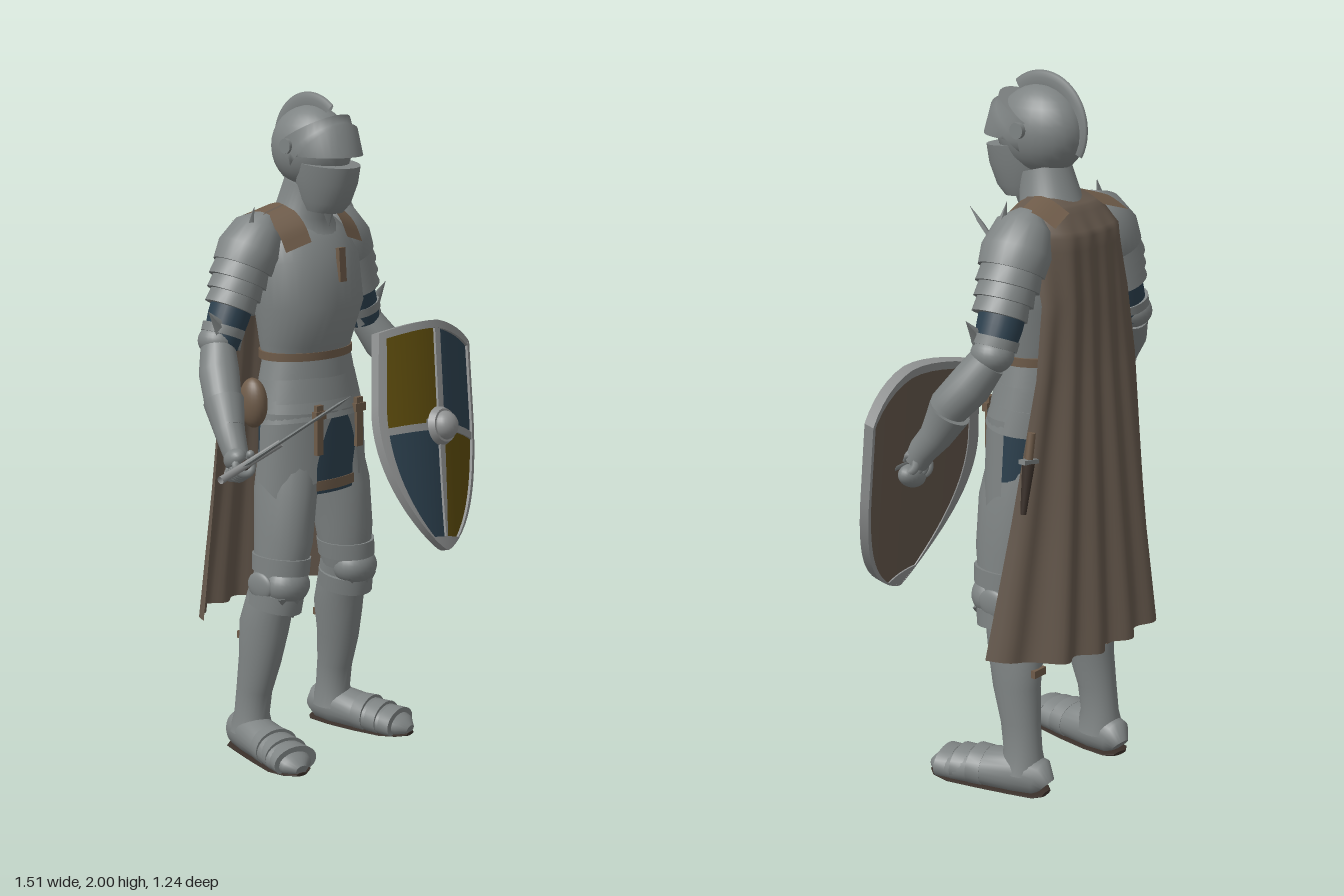
import * as THREE from 'three';

const V = (x, y, z) => new THREE.Vector3(x, y, z);
const CX = 0.07; // body centre line

export function createModel() {
  const root = new THREE.Group();
  const mat = (name, color) => Object.assign(
    new THREE.MeshStandardMaterial({ color, side: THREE.DoubleSide }), { name });
  const steel = mat('steel', 0x7e8383), rimSteel = mat('pale steel', 0x8e9090);
  const blue = mat('dark blue', 0x2c404e), gold = mat('dark gold', 0x5c4b0c);
  const cloth = mat('cape brown', 0x65584c), leather = mat('leather', 0x6e5b49);
  const dark = mat('dark leather', 0x3a302a);

  const add = (name, geo, m, parent = root) => {
    const mesh = new THREE.Mesh(geo, m);
    mesh.name = name;
    parent.add(mesh);
    return mesh;
  };
  // elliptical tube through [x, y, z, radiusA, radiusB] stations, capped at both ends
  const sweep = (pts, seg = 24, ref = V(0, 0, 1)) => {
    const pos = [], idx = [], c = pts.map(p => V(p[0], p[1], p[2])), n = pts.length;
    const frame = i => {
      const t = c[Math.min(i + 1, n - 1)].clone().sub(c[Math.max(i - 1, 0)]).normalize();
      const side = t.clone().cross(ref).normalize();
      return [side, side.clone().cross(t)];
    };
    const ring = i => {
      const [s, b] = frame(i);
      for (let j = 0; j < seg; j++) {
        const a = j / seg * Math.PI * 2;
        const p = c[i].clone().addScaledVector(s, Math.cos(a) * pts[i][3])
          .addScaledVector(b, Math.sin(a) * pts[i][4]);
        pos.push(p.x, p.y, p.z);
      }
    };
    for (let i = 0; i < n; i++) ring(i);
    for (let i = 0; i < n - 1; i++) for (let j = 0; j < seg; j++) {
      const k = (j + 1) % seg, a = i * seg + j, b = i * seg + k;
      idx.push(a, a + seg, b, b, a + seg, b + seg);
    }
    for (const i of [0, n - 1]) {
      const start = pos.length / 3;
      ring(i);
      pos.push(c[i].x, c[i].y, c[i].z);
      for (let j = 0; j < seg; j++) {
        const e = [start + j, start + (j + 1) % seg];
        if (i) e.reverse();
        idx.push(start + seg, ...e);
      }
    }
    const g = new THREE.BufferGeometry();
    g.setAttribute('position', new THREE.Float32BufferAttribute(pos, 3));
    g.setIndex(idx);
    g.computeVertexNormals();
    return g;
  };
  // moves every vertex of a geometry by a rule
  const reshape = (g, f) => {
    const p = g.attributes.position;
    for (let i = 0; i < p.count; i++) p.setXYZ(i, ...f(p.getX(i), p.getY(i), p.getZ(i)));
    g.computeVertexNormals();
    return g;
  };
  const surface = (f, nu, nv) => reshape(new THREE.PlaneGeometry(1, 1, nu, nv), (x, y) => f(x + 0.5, 0.5 - y));
  const ball = (x, y, z, rx, ry, rz) => new THREE.SphereGeometry(1, 24, 16).scale(rx, ry, rz).translate(x, y, z);
  const box = (w, h, d, x, y, z, rx = 0) => new THREE.BoxGeometry(w, h, d).rotateX(rx).translate(x, y, z);
  const body = rows => sweep(rows.map(([y, z, rx, rz]) => [CX, y, z, rx, rz]), 36);

  // torso, gorget, belt and waist lames
  add('breastplate', body([[1.22, -0.365, 0.15, 0.105], [1.27, -0.365, 0.158, 0.118], [1.38, -0.35, 0.176, 0.15],
    [1.5, -0.37, 0.18, 0.15], [1.58, -0.395, 0.16, 0.12], [1.645, -0.4, 0.1, 0.08]]), steel);
  add('gorget', body([[1.6, -0.375, 0.115, 0.11], [1.65, -0.37, 0.085, 0.085], [1.74, -0.345, 0.07, 0.075]]), steel);
  add('gorgetPoint', new THREE.ConeGeometry(0.035, 0.07, 4).rotateX(Math.PI).scale(1, 1, 0.5).translate(CX, 1.645, -0.265), steel);
  add('belt', body([[1.222, -0.365, 0.161, 0.115], [1.246, -0.365, 0.161, 0.115]]), leather);
  add('chestStrap', box(0.026, 0.1, 0.014, CX, 1.505, -0.215, -0.06), leather);
  for (let i = 0; i < 3; i++) {
    const y = 1.225 - i * 0.06, r = i * 0.013;
    add('waistLame', body([[y - 0.07, -0.36 + i * 0.004, 0.169 + r, 0.117 + r * 0.7], [y, -0.36, 0.155 + r, 0.105 + r * 0.7]]), steel);
  }
  add('underskirt', body([[0.82, -0.35, 0.182, 0.115], [0.95, -0.35, 0.182, 0.118], [1.07, -0.352, 0.178, 0.118]]), blue);
  add('skirtHem', body([[0.83, -0.35, 0.186, 0.119], [0.86, -0.35, 0.186, 0.119]]), leather);

  // helmet
  add('skullCap', ball(CX, 1.84, -0.335, 0.1, 0.122, 0.135), steel);
  add('crest', new THREE.TorusGeometry(0.122, 0.028, 10, 40, 2.75).rotateZ(-0.5).scale(1, 1, 0.28)
    .rotateY(Math.PI / 2).translate(CX, 1.85, -0.34), steel);
  add('faceGuard', body([[1.66, -0.285, 0.055, 0.06], [1.69, -0.282, 0.068, 0.085], [1.75, -0.275, 0.083, 0.102],
    [1.8, -0.27, 0.09, 0.104]]), steel);
  add('visorBrim', body([[1.822, -0.285, 0.103, 0.126], [1.832, -0.285, 0.105, 0.127], [1.845, -0.305, 0.103, 0.122],
    [1.885, -0.325, 0.098, 0.127]]), steel);

  // cape: rows of [y, half width, centre z, edge z, fold depth]
  const rows = [[1.675, 0.09, -0.43, -0.36, 0], [1.65, 0.16, -0.475, -0.37, 0], [1.58, 0.18, -0.525, -0.44, 0.002],
    [1.4, 0.185, -0.54, -0.485, 0.004], [1.2, 0.215, -0.55, -0.49, 0.008], [0.8, 0.285, -0.577, -0.46, 0.013],
    [0.425, 0.36, -0.602, -0.43, 0.019]];
  add('cape', surface((u, v) => {
    const s = u * 2 - 1, t = v * (rows.length - 1), i = Math.min(Math.floor(t), rows.length - 2);
    const [y, w, zc, ze, f] = rows[i].map((a, k) => THREE.MathUtils.lerp(a, rows[i + 1][k], t - i));
    return [CX - s * w, y + 0.025 * v * s * s, zc + (ze - zc) * s ** 4 + f * Math.cos(s * Math.PI * 2 / 0.38)];
  }, 60, 30), cloth);
  const over = new THREE.CatmullRomCurve3([V(0, 1.575, -0.262), V(0, 1.63, -0.295), V(0, 1.674, -0.36), V(0, 1.675, -0.42), V(0, 1.645, -0.49)]);

  // gripping gauntlet, closed round the local z axis
  const hand = parent => {
    const g = new THREE.Group();
    g.name = 'gauntletHand';
    parent.add(g);
    for (let i = 0; i < 4; i++)
      add('finger', new THREE.TorusGeometry(0.024, 0.012, 8, 16, 5).rotateZ(1.2).translate(0, 0, -0.105 + i * 0.022), steel, g);
    add('palm', ball(0.0, 0.03, -0.07, 0.032, 0.032, 0.05), steel, g);
    add('thumb', new THREE.CapsuleGeometry(0.012, 0.05, 4, 10).rotateX(1.2).translate(0.026, 0.01, -0.035), steel, g);
    return g;
  };

  // paired armour
  for (const s of [-1, 1]) {
    const X = d => CX + s * d;
    const pair = (name, pts, m = steel, ref) => add(name, sweep(pts.map(([d, ...r]) => [X(d), ...r]), 24, ref), m);

    // hip plate leaving an arch open in the middle
    add('hipPlate', surface((u, v) => {
      const inner = 1.54 - 0.42 * Math.min(1, Math.sqrt(v * 1.3)), a = -0.12 + u * (inner + 0.12);
      const y = 1.07 - v * (0.235 - 0.025 * Math.cos(u * 6)), k = 0.19 + 0.014 * v;
      return [X(Math.cos(a) * k), y, -0.35 + Math.sin(a) * (0.128 + 0.002 * v)];
    }, 16, 12), steel);
    add('hipStrap', box(0.026, 0.15, 0.014, X(0.085), 1.02, -0.228), leather);
    add('hipBuckle', box(0.042, 0.025, 0.018, X(0.085), 1.065, -0.226), leather);
    add('shoulderStrap', surface((u, v) => {
      const p = over.getPoint(v);
      return [X(0.075 + u * 0.085), p.y - 0.025 * u, p.z - 0.02 * u];
    }, 6, 16), leather);
    add('visorPivot', new THREE.CylinderGeometry(0.022, 0.022, 0.016, 16).rotateZ(Math.PI / 2).translate(X(0.103), 1.85, -0.335), steel);

    // leg
    pair('thighArmour', [[0.085, 0.95, -0.35, 0.085, 0.1], [0.115, 0.82, -0.34, 0.08, 0.108], [0.13, 0.68, -0.335, 0.077, 0.1],
      [0.145, 0.55, -0.34, 0.067, 0.082]]);
    pair('shinArmour', [[0.145, 0.56, -0.345, 0.066, 0.08], [0.155, 0.48, -0.37, 0.066, 0.08], [0.162, 0.4, -0.39, 0.067, 0.084],
      [0.17, 0.3, -0.4, 0.058, 0.072], [0.176, 0.2, -0.42, 0.05, 0.06], [0.178, 0.12, -0.43, 0.05, 0.058], [0.18, 0.06, -0.43, 0.064, 0.072]]);
    pair('kneeBandUpper', [[0.138, 0.63, -0.335, 0.08, 0.098], [0.142, 0.58, -0.335, 0.077, 0.096]]);
    pair('kneeBandLower', [[0.15, 0.52, -0.345, 0.076, 0.092], [0.154, 0.47, -0.352, 0.074, 0.092]]);
    add('kneeCup', ball(X(0.147), 0.545, -0.305, 0.072, 0.062, 0.068), steel);
    add('kneePoint', new THREE.ConeGeometry(0.062, 0.07, 4).rotateX(Math.PI).scale(1, 1, 0.45).translate(X(0.152), 0.48, -0.275), steel);
    add('kneeWing', ball(X(0.215), 0.545, -0.35, 0.014, 0.042, 0.05), steel);
    add('greaveStrap', box(0.05, 0.022, 0.014, X(0.165), 0.36, -0.473), leather);
    const foot = [[0.172, 0.03, -0.51, 0.025, 0.03], [0.175, 0.05, -0.49, 0.05, 0.055], [0.185, 0.055, -0.42, 0.062, 0.065],
      [0.205, 0.047, -0.32, 0.07, 0.055], [0.225, 0.035, -0.23, 0.072, 0.045], [0.236, 0.026, -0.18, 0.052, 0.032], [0.24, 0.018, -0.155, 0.02, 0.016]];
    const up = V(0, 1, 0);
    reshape(pair('sabaton', foot, steel, up).geometry, (x, y, z) => [x, Math.max(0.005, y), z]);
    pair('sole', foot.map(p => [p[0], 0.005, p[2], p[3] * 0.97, 0.005]), dark, up);
    for (let i = 0; i < 3; i++) {
      const z = -0.33 + i * 0.05, d = 0.203 + i * 0.01, y = 0.047 - i * 0.006;
      const lame = pair('toeLame', [[d, y, z, 0.07, 0.058 - i * 0.005], [d + 0.008, y, z + 0.04, 0.075, 0.058 - i * 0.006]], steel, up);
      reshape(lame.geometry, (x, yy, zz) => [x, Math.max(0.005, yy), zz]);
    }

    // arm
    pair('shoulderArmour', [[0.13, 1.64, -0.4, 0.03, 0.04], [0.155, 1.61, -0.4, 0.068, 0.08], [0.19, 1.55, -0.405, 0.088, 0.1],
      [0.215, 1.5, -0.407, 0.086, 0.094]]);
    for (let i = 0; i < 3; i++) {
      const d = 0.212 + i * 0.016, y = 1.51 - i * 0.037, r = 0.085 - i * 0.006;
      pair('armLame', [[d, y, -0.408, r - 0.008, r], [d + 0.022, y - 0.048, -0.41, r, r + 0.005]]);
    }
    add('shoulderSpike', new THREE.ConeGeometry(0.032, 0.12, 4).scale(0.5, 1, 1).rotateZ(s * -0.55 + s * 0.9)
      .translate(X(0.215), 1.625, -0.375), steel);
    pair('armPadding', [[0.24, 1.43, -0.41, 0.06, 0.066], [0.27, 1.36, -0.413, 0.058, 0.064], [0.305, 1.28, -0.413, 0.05, 0.055]], blue);
    add('elbowCup', ball(X(0.307), 1.295, -0.42, 0.056, 0.05, 0.06), steel);
    pair('elbowBand', [[0.285, 1.335, -0.415, 0.061, 0.066], [0.295, 1.31, -0.415, 0.06, 0.064]]);
    for (const k of [-1, 1])
      add('elbowSpike', new THREE.ConeGeometry(0.025, 0.075, 4).scale(1, 1, 0.5).rotateZ(s * (k > 0 ? -0.7 : 0.6))
        .translate(X(0.3 + k * 0.05), 1.335 + k * 0.03, -0.385), steel);
    const fz = s > 0 ? -0.03 : 0, fd = s > 0 ? -0.02 : 0;
    pair('forearmArmour', [[0.315, 1.275, -0.41, 0.05, 0.052], [0.345, 1.21, -0.375, 0.058, 0.06], [0.375, 1.15, -0.33, 0.054, 0.056],
      [0.41 + fd, 1.07, -0.265 + fz, 0.041, 0.044]]);
    pair('gauntletCuff', [[0.38, 1.14, -0.32 + fz / 2, 0.058, 0.06], [0.41 + fd, 1.065, -0.265 + fz, 0.043, 0.045],
      [0.425 + fd, 1.02, -0.23 + fz, 0.036, 0.04], [0.428 + fd, 0.985, -0.21 + fz, 0.03, 0.036]]);
  }

  // sword: local z runs along the blade, local x along the guard
  const place = (group, x, z, p) => {
    const Z = z.normalize(), Y = Z.clone().cross(x).normalize();
    group.quaternion.setFromRotationMatrix(new THREE.Matrix4().makeBasis(Y.clone().cross(Z), Y, Z));
    group.position.copy(p);
    root.add(group);
  };
  const sword = new THREE.Group();
  sword.name = 'sword';
  const blade = new THREE.LatheGeometry([[0.021, 0], [0.016, 0.82], [0, 0.921]].map(p => new THREE.Vector2(...p)), 4)
    .scale(1, 1, 0.25).rotateX(Math.PI / 2).toNonIndexed();
  blade.computeVertexNormals();
  add('blade', blade, steel, sword);
  add('guard', new THREE.TubeGeometry(new THREE.CatmullRomCurve3([V(-0.105, 0, 0.03), V(-0.05, 0, 0.006), V(0, 0, 0),
    V(0.05, 0, 0.006), V(0.105, 0, 0.03)]), 24, 0.011, 8), rimSteel, sword);
  add('grip', new THREE.CylinderGeometry(0.013, 0.015, 0.15, 12).rotateX(Math.PI / 2).translate(0, 0, -0.075), dark, sword);
  add('pommel', ball(0, 0, -0.165, 0.023, 0.023, 0.02), rimSteel, sword);
  hand(sword);
  place(sword, V(0.185, 0.085, 0.055), V(-0.37, 0.365, 0.76), V(-0.39, 1.0, -0.14));

  // shield: curved plates given by width (-1..1) and height (0 top..1 tip) ranges
  const shield = new THREE.Group();
  shield.name = 'shield';
  const halfWidth = v => v < 0.37 ? 0.215 + 0.03 * v : 0.226 * Math.pow(Math.max(0, 1 - ((v - 0.37) / 0.63) ** 2), 0.75);
  const plate = (name, m, u0, u1, v0, v1, z0, z1) => add(name,
    reshape(new THREE.BoxGeometry(1, 1, 1, 12, 24, 1), (x, y, z) => {
      const u = u0 + (x + 0.5) * (u1 - u0), v = v0 + (0.5 - y) * (v1 - v0), px = u * halfWidth(v);
      return [px, -0.716 * v - (1 - v) * 0.05 * Math.abs(u) ** 1.5, -1.2 * px * px + z0 + (z + 0.5) * (z1 - z0)];
    }), m, shield);
  plate('shieldBack', cloth, -0.97, 0.97, 0.01, 0.99, -0.014, -0.006);
  plate('goldQuarter', gold, -0.97, 0, 0.01, 0.46, -0.006, 0.002);
  plate('blueQuarter', blue, 0, 0.97, 0.01, 0.46, -0.006, 0.002);
  plate('blueQuarter', blue, -0.97, 0, 0.46, 0.99, -0.006, 0.002);
  plate('goldQuarter', gold, 0, 0.97, 0.46, 0.99, -0.006, 0.002);
  for (const k of [-1, 1]) plate('shieldRim', rimSteel, k > 0 ? 0.89 : -1, k > 0 ? 1 : -0.89, 0, 1, -0.018, 0.012);
  plate('shieldRimTop', rimSteel, -1, 1, 0, 0.035, -0.018, 0.012);
  plate('shieldRimTip', rimSteel, -1, 1, 0.94, 1, -0.018, 0.012);
  plate('crossUpright', rimSteel, -0.055, 0.055, 0.02, 0.98, 0, 0.01);
  plate('crossBar', rimSteel, -0.95, 0.95, 0.445, 0.478, 0, 0.01);
  add('bossBase', new THREE.CylinderGeometry(0.052, 0.062, 0.02, 24).rotateX(Math.PI / 2).translate(0, -0.33, 0.015), rimSteel, shield);
  add('boss', ball(0, -0.33, 0.022, 0.045, 0.045, 0.04), rimSteel, shield);
  place(shield, V(0.98, -0.194, 0), V(0.046, 0.232, 0.97), V(0.55, 1.27, -0.275));
  const leftHand = hand(new THREE.Group());
  place(leftHand, V(0.2, 0.1, 1), V(0.9, 0.35, -0.1), V(0.54, 1.0, -0.24));

  // hip accessories
  add('pouch', ball(-0.135, 1.1, -0.38, 0.035, 0.075, 0.05), leather);
  const dagger = new THREE.Group();
  dagger.name = 'dagger';
  add('scabbard', new THREE.CylinderGeometry(0.017, 0.008, 0.14, 10).translate(0, -0.05, 0), dark, dagger);
  add('daggerGuard', box(0.06, 0.012, 0.022, 0, 0.025, 0), steel, dagger);
  add('daggerGrip', new THREE.CylinderGeometry(0.011, 0.011, 0.075, 10).translate(0, 0.065, 0), leather, dagger);
  dagger.position.set(0.33, 0.98, -0.505);
  dagger.rotation.z = 0.15;
  root.add(dagger);
  return root;
}
